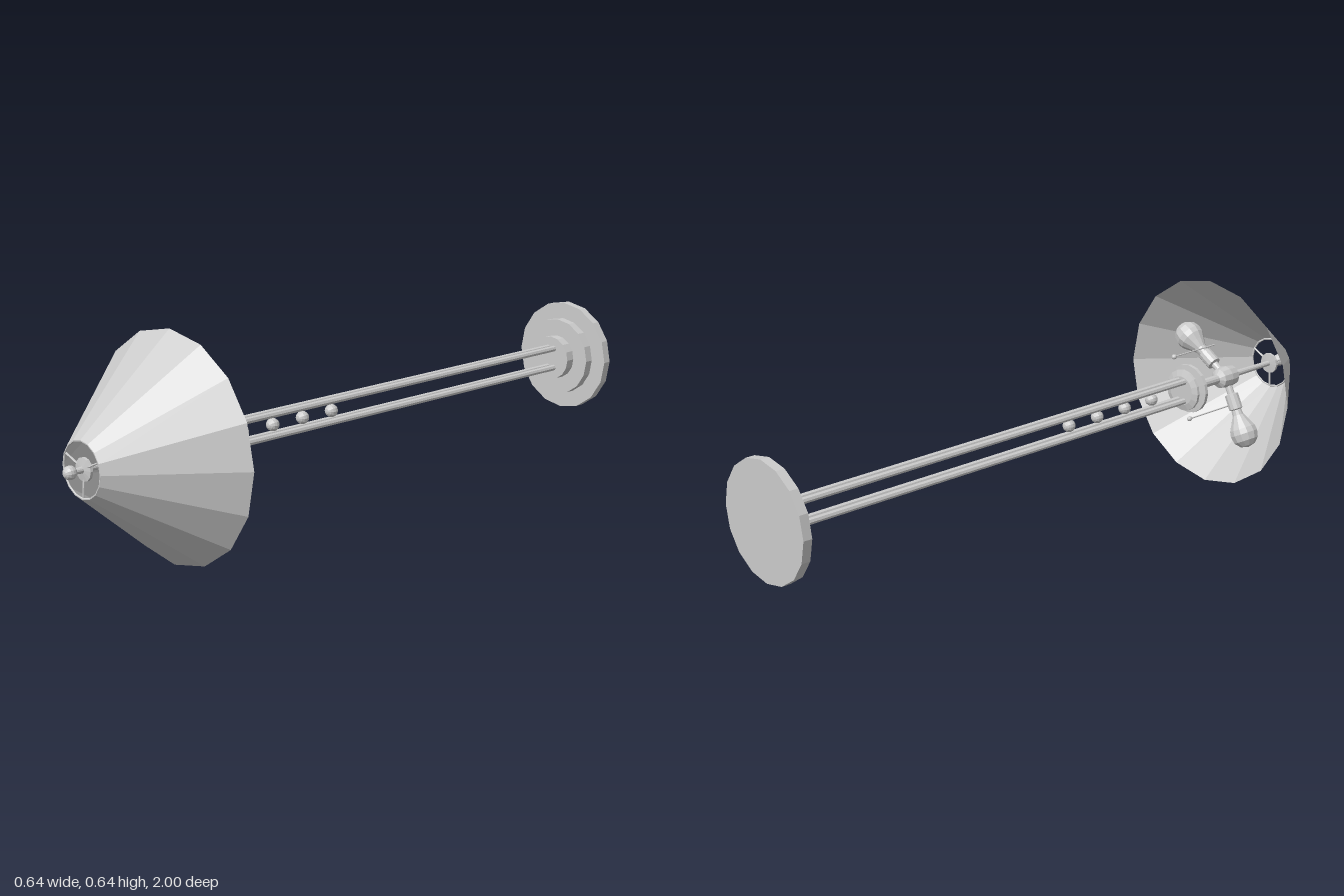
import * as THREE from 'three';

const material = new THREE.MeshStandardMaterial({ color: 0xcccccc, flatShading: true });
const openMaterial = new THREE.MeshStandardMaterial({ color: 0xcccccc, flatShading: true, side: THREE.DoubleSide });

function add(parent, name, geometry, mat = material) {
  const mesh = new THREE.Mesh(geometry, mat);
  mesh.name = name;
  parent.add(mesh);
  return mesh;
}

// profile points are [radius, height]
function lathe(points, sides = 16) {
  return new THREE.LatheGeometry(points.map(([r, y]) => new THREE.Vector2(r, y)), sides);
}

// straight round bar between two points
function bar(parent, name, from, to, radius, sides = 8) {
  const a = new THREE.Vector3(...from), b = new THREE.Vector3(...to);
  const mesh = add(parent, name, new THREE.CylinderGeometry(radius, radius, a.distanceTo(b), sides));
  mesh.position.copy(a).add(b).multiplyScalar(0.5);
  mesh.quaternion.setFromUnitVectors(new THREE.Vector3(0, 1, 0), b.sub(a).normalize());
  return mesh;
}

function ball(parent, name, position, radius) {
  add(parent, name, new THREE.SphereGeometry(radius, 12, 8)).position.set(...position);
}

export function createModel() {
  const model = new THREE.Group();
  model.name = 'floorLamp';

  // the lamp is built upright, then laid down with its top to the front
  const lamp = new THREE.Group();
  lamp.name = 'lamp';
  lamp.rotation.x = Math.PI / 2;
  lamp.position.y = 0.323;
  model.add(lamp);

  // stepped foot
  add(lamp, 'base', lathe([
    [0, -1], [0.17, -1], [0.17, -0.973], [0.12, -0.973], [0.12, -0.945],
    [0.068, -0.945], [0.068, -0.915], [0, -0.915],
  ]));

  // four upright rods in two pairs
  for (const x of [-0.012, 0.012]) {
    for (const z of [-0.031, 0.031]) bar(lamp, 'rod', [x, -0.93, z], [x, 0.55, z], 0.0095);
  }

  // ornamental balls held between the rods
  for (const y of [0.065, 0.178, 0.291, 0.404]) ball(lamp, 'ornamentBall', [0.003, y, 0], 0.019);

  // stepped collar on top of the rods
  add(lamp, 'collar', lathe([
    [0, 0.53], [0.045, 0.53], [0.064, 0.536], [0.064, 0.544], [0.05, 0.546], [0.05, 0.557],
    [0.075, 0.559], [0.075, 0.57], [0.035, 0.574], [0, 0.576],
  ]));

  // central stem with socket hub and finial
  add(lamp, 'stem', lathe([
    [0, 0.57], [0.014, 0.57], [0.014, 0.69], [0.03, 0.7], [0.034, 0.73], [0.03, 0.76],
    [0.01, 0.775], [0.008, 0.93], [0.032, 0.932], [0.032, 0.94], [0.009, 0.944],
    [0.008, 0.97], [0, 0.97],
  ], 12));
  ball(lamp, 'finial', [0, 0.981, 0], 0.019);

  // bulbs on short arms, each with a pull chain
  const bulbProfile = [
    [0, 0.02], [0.012, 0.02], [0.012, 0.055], [0.022, 0.058], [0.022, 0.105], [0.016, 0.108],
    [0.018, 0.125], [0.03, 0.148], [0.041, 0.168], [0.044, 0.185], [0.039, 0.207],
    [0.024, 0.223], [0, 0.23],
  ];
  for (const [degrees, chainX, chainZ] of [[32, 0.05, -0.092], [243, -0.02, 0.09]]) {
    const holder = new THREE.Group();
    holder.name = 'bulbHolder';
    holder.position.y = 0.73;
    holder.rotation.y = THREE.MathUtils.degToRad(degrees);
    lamp.add(holder);
    add(holder, 'bulbAndSocket', lathe(bulbProfile, 12)).rotation.z = -Math.PI / 2;
    bar(lamp, 'pullChain', [chainX, 0.73, chainZ], [chainX, 0.55, chainZ], 0.0025, 6);
    ball(lamp, 'chainBall', [chainX, 0.55, chainZ], 0.008);
  }

  // faceted conical shade
  add(lamp, 'shade', lathe([[0.322, 0.648], [0.079, 0.945]]), openMaterial);
  const rim = add(lamp, 'shadeRim', new THREE.TorusGeometry(0.077, 0.003, 6, 16));
  rim.rotation.x = Math.PI / 2;
  rim.position.y = 0.943;

  // spokes carrying the shade
  for (const degrees of [25, 155, 270]) {
    const a = THREE.MathUtils.degToRad(degrees);
    bar(lamp, 'shadeSpoke', [0, 0.937, 0], [0.077 * Math.cos(a), 0.942, -0.077 * Math.sin(a)], 0.003, 6);
  }

  return model;
}
